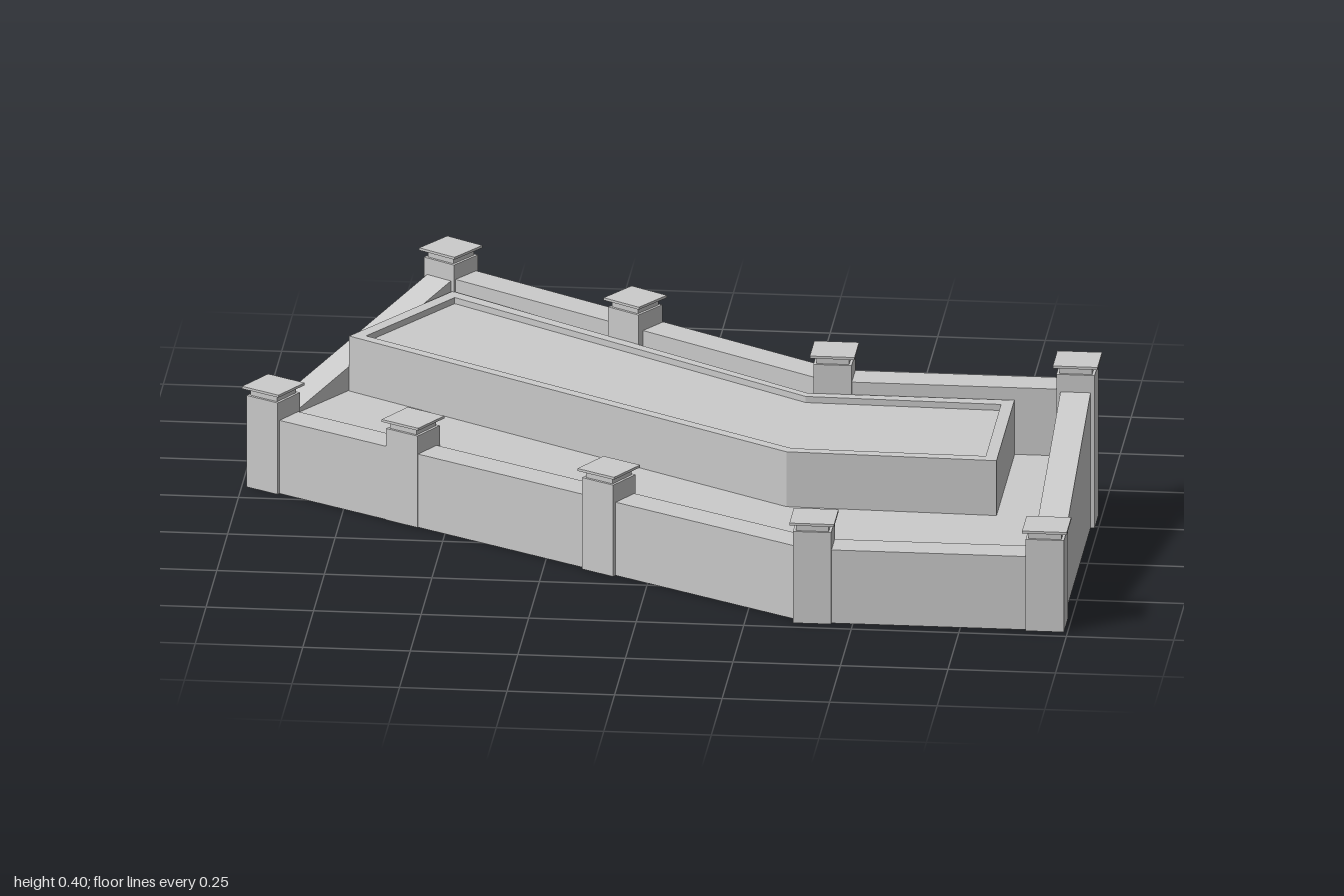
import * as THREE from 'three';

const material = new THREE.MeshStandardMaterial({ color: 0xcccccc, flatShading: true, side: THREE.DoubleSide });

const LOW = 0.18, HIGH = 0.337, FLOOR = 0.173;
const SLANT_FRONT = -0.522, SLANT_BACK = -0.573;

// Post centres [x, z], turn about y, and cap height
const posts = {
  frontEnd: [0.947, 0.677, 0, 0.248],
  frontCorner: [0.406, 0.677, 0, 0.248],
  frontMidA: [-0.1, 0.389, SLANT_FRONT, 0.248],
  frontMidB: [-0.584, 0.102, SLANT_FRONT, 0.248],
  frontFar: [-0.928, -0.09, SLANT_FRONT, 0.248],
  backFar: [-0.572, -0.655, SLANT_BACK, 0.397],
  backMid: [-0.112, -0.343, SLANT_BACK, 0.403],
  backCorner: [0.382, -0.035, 0, 0.402],
  backEnd: [0.947, -0.035, 0, 0.398],
};

function mesh(name, geometry) {
  const m = new THREE.Mesh(geometry, material);
  m.name = name;
  return m;
}

function box(name, w, y0, y1) {
  const m = mesh(name, new THREE.BoxGeometry(w, y1 - y0, w));
  m.position.y = (y0 + y1) / 2;
  return m;
}

// Square post with a narrow neck and a thin overhanging cap
function makePost(name, [x, z, turn, top]) {
  const g = new THREE.Group();
  g.name = name + 'Post';
  g.add(
    box('postBody', 0.089, 0, top - 0.023),
    box('postNeck', 0.076, top - 0.023, top - 0.006),
    box('postCap', 0.104, top - 0.006, top)
  );
  g.position.set(x, 0, z);
  g.rotation.y = turn;
  return g;
}

// Wall between two posts; its top may slope from h0 to h1
function makeWall(name, a, b, h0, h1, thickness) {
  const [x0, z0] = posts[a], [x1, z1] = posts[b];
  const geo = new THREE.BoxGeometry(Math.hypot(x1 - x0, z1 - z0), 1, thickness);
  const p = geo.attributes.position;
  for (let i = 0; i < p.count; i++) {
    p.setY(i, p.getY(i) < 0 ? 0 : p.getX(i) < 0 ? h0 : h1);
  }
  geo.computeVertexNormals();
  const m = mesh(name, geo);
  m.position.set((x0 + x1) / 2, 0, (z0 + z1) / 2);
  m.rotation.y = -Math.atan2(z1 - z0, x1 - x0);
  return m;
}

// Plan outline [x, z] as a shape, raised from y0 to y1
const toPoints = (plan) => plan.map(([x, z]) => new THREE.Vector2(x, -z));
function raise(name, plan, y0, y1, hole) {
  const shape = new THREE.Shape(toPoints(plan));
  if (hole) shape.holes.push(new THREE.Path(toPoints(hole)));
  const geo = new THREE.ExtrudeGeometry(shape, { depth: y1 - y0, bevelEnabled: false });
  geo.rotateX(-Math.PI / 2);
  geo.translate(0, y0, 0);
  return mesh(name, geo);
}

export function createModel() {
  const model = new THREE.Group();
  model.name = 'tieredPlanter';

  for (const [name, spec] of Object.entries(posts)) model.add(makePost(name, spec));

  // Low front walls, tall back walls, sloping end walls
  model.add(
    makeWall('frontStraightWall', 'frontCorner', 'frontEnd', LOW, LOW, 0.074),
    makeWall('frontSlantedWall', 'frontFar', 'frontCorner', LOW, LOW, 0.074),
    makeWall('backStraightWall', 'backCorner', 'backEnd', HIGH, HIGH, 0.08),
    makeWall('backSlantedWall', 'backFar', 'backCorner', HIGH, HIGH, 0.076),
    makeWall('leftEndWall', 'frontEnd', 'backEnd', 0.172, 0.343, 0.07),
    makeWall('rightEndWall', 'frontFar', 'backFar', 0.168, 0.345, 0.07)
  );

  // Lower bed, open underneath
  const corners = ['frontEnd', 'frontCorner', 'frontFar', 'backFar', 'backCorner', 'backEnd'];
  model.add(raise('lowerBed', corners.map((k) => posts[k]), FLOOR - 0.003, FLOOR));

  // Raised upper bed with a thin rim around its soil
  const outer = [[0.805, 0.01], [0.805, 0.424], [0.315, 0.412], [-0.77, -0.271], [-0.562, -0.598], [0.325, 0.01]];
  const inner = [[0.777, 0.042], [0.777, 0.395], [0.325, 0.387], [-0.731, -0.276], [-0.553, -0.556], [0.322, 0.033]];
  model.add(
    raise('upperBedRim', outer, FLOOR, 0.308, inner),
    raise('upperBedSoil', inner, 0.285, 0.293)
  );

  return model;
}
